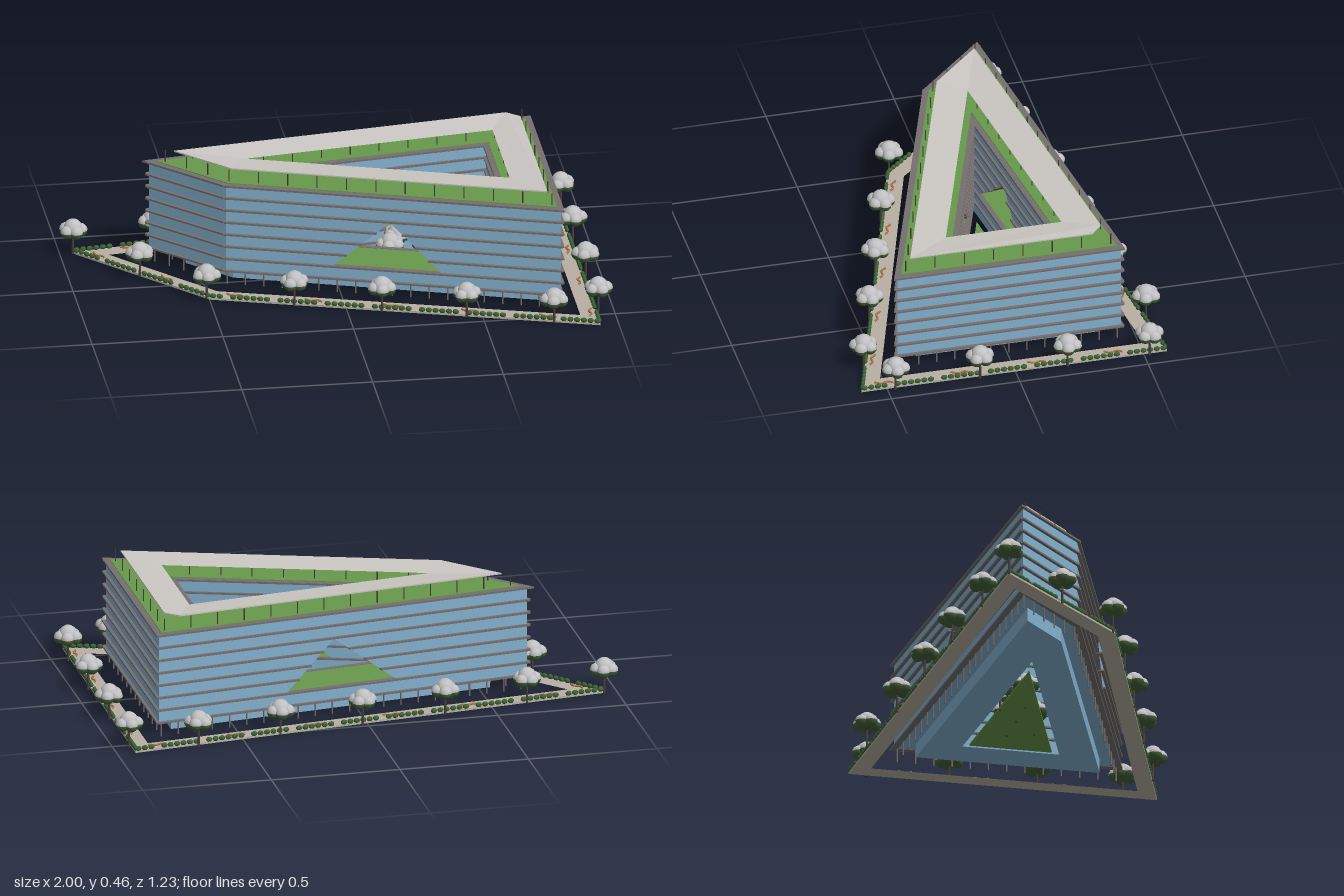
import * as THREE from 'three';

const mat = (name, color, side = THREE.FrontSide) => {
  const m = new THREE.MeshStandardMaterial({ color, side });
  m.name = name;
  return m;
};

// Plan outlines as [x, z], all wound the same way
const BUILDING = [[-0.70, -0.25], [0.815, -0.455], [0.815, 0.445], [-0.425, 0.03]];
const COURT = [[-0.32, -0.12], [0.64, -0.25], [0.64, 0.20]];
const SITE = [[-0.95, -0.35], [0.93, -0.59], [0.93, 0.60], [-0.50, 0.15]];

const edges = (poly) => poly.map((a, i) => {
  const b = poly[(i + 1) % poly.length];
  const len = Math.hypot(b[0] - a[0], b[1] - a[1]);
  return { a, len, d: [(b[0] - a[0]) / len, (b[1] - a[1]) / len] };
});
const along = (e, s, inward = 0) =>
  [e.a[0] + e.d[0] * s - e.d[1] * inward, e.a[1] + e.d[1] * s + e.d[0] * inward];
const project = (e, p) => Math.min(e.len - 0.01,
  Math.max(0.01, (p[0] - e.a[0]) * e.d[0] + (p[1] - e.a[1]) * e.d[1]));

// Move every side of an outline inwards
function inset(poly, dist) {
  const es = edges(poly);
  return es.map((e, i) => {
    const prev = es[(i + es.length - 1) % es.length];
    const p = along(prev, 0, dist), q = along(e, 0, dist);
    const t = ((q[0] - p[0]) * e.d[1] - (q[1] - p[1]) * e.d[0]) /
      (prev.d[0] * e.d[1] - prev.d[1] * e.d[0]);
    return [p[0] + prev.d[0] * t, p[1] + prev.d[1] * t];
  });
}

// Flat plate with an optional hole, from height y0 to y1
function plateGeometry(outer, hole, y0, y1) {
  const pts = (poly) => poly.map(([x, z]) => new THREE.Vector2(x, -z));
  const shape = new THREE.Shape(pts(outer));
  if (hole) shape.holes.push(new THREE.Path(pts(hole)));
  return new THREE.ExtrudeGeometry(shape, { depth: y1 - y0, bevelEnabled: false })
    .rotateX(-Math.PI / 2).translate(0, y0, 0);
}

export function createModel() {
  const root = new THREE.Group();
  root.name = 'triangularOfficeBlock';
  const M = {
    glass: mat('blueGlass', 0x84b2d0, THREE.DoubleSide),
    slab: mat('greyConcrete', 0x76706f, THREE.DoubleSide),
    lawn: mat('lawnGreen', 0x69994b, THREE.DoubleSide),
    canopy: mat('paleCanopy', 0xcbc8c4),
    paving: mat('stonePaving', 0xb8b0a3),
    hedge: mat('hedgeGreen', 0x3c6335),
    leaf: mat('darkLeaf', 0x435f38),
    crown: mat('paleCrown', 0xc2c2c4),
    wood: mat('benchWood', 0xb5774a),
    dark: mat('darkMetal', 0x4a413c),
  };
  const group = (name) => {
    const g = new THREE.Group();
    g.name = name;
    root.add(g);
    return g;
  };
  const add = (parent, name, geo, material, x = 0, y = 0, z = 0) => {
    const m = new THREE.Mesh(geo, material);
    m.name = name;
    m.position.set(x, y, z);
    parent.add(m);
    return m;
  };
  const plate = (name, outer, hole, y0, y1, m) =>
    add(root, name, plateGeometry(outer, hole, y0, y1), m);

  const outerGlass = inset(BUILDING, 0.012), courtGlass = inset(COURT, 0.03);
  const outerEdges = edges(outerGlass), courtEdges = edges(courtGlass);
  const FLOOR = 0.06, SILL = 0.11, PEAK = 0.305, ROOF = 0.41;

  // Triangular passages: base start, base end and apex by side of the plan
  const onEdge = (e, x) => along(e, (x - e.a[0]) / e.d[0]);
  const passages = {
    0: [-0.15, 0.29, 0.10].map((x) => onEdge(outerEdges[0], x)),
    2: [0.37, -0.03, 0.18].map((x) => onEdge(outerEdges[2], x)),
  };

  // Glass wall with floor ribs, both interrupted by a passage
  function wall(parent, e, notch, depth) {
    const g = new THREE.Group();
    g.name = 'facade';
    g.position.set(e.a[0], 0, e.a[1]);
    g.rotation.y = Math.atan2(-e.d[1], e.d[0]);
    parent.add(g);
    const shape = new THREE.Shape([[0, FLOOR], [e.len, FLOOR], [e.len, ROOF], [0, ROOF]]
      .map((p) => new THREE.Vector2(...p)));
    const s = notch && notch.map((p) => project(e, p));
    if (s) {
      shape.holes.push(new THREE.Path([[s[0], SILL], [s[2], PEAK], [s[1], SILL]]
        .map((p) => new THREE.Vector2(...p))));
    }
    add(g, 'glassWall', new THREE.ShapeGeometry(shape), M.glass);
    for (let i = 0; i < 8; i++) {
      const y = FLOOR + i * 0.05;
      let spans = [[-0.01, e.len + 0.01]];
      if (s && y > SILL + 0.01 && y < PEAK) {
        const t = (y - SILL) / (PEAK - SILL);
        spans = [[-0.01, s[0] + (s[2] - s[0]) * t], [s[1] + (s[2] - s[1]) * t, e.len + 0.01]];
      }
      for (const [p, q] of spans) {
        add(g, 'floorRib', new THREE.BoxGeometry(q - p, 0.007, depth), M.slab, (p + q) / 2, y, 0);
      }
    }
  }
  const facades = group('facades');
  outerEdges.forEach((e, i) => wall(facades, e, passages[i], 0.024));
  courtEdges.forEach((e, i) => wall(facades, e, passages[i], 0.02));

  // Passage linings and their grass floors
  const passageGroup = group('passages');
  for (const side of [0, 2]) {
    const heights = [SILL + 0.002, SILL + 0.002, PEAK];
    const ring = passages[side].map((p, i) => {
      const e = courtEdges[side], q = along(e, project(e, p));
      return [[p[0], heights[i], p[1]], [q[0], heights[i], q[1]]];
    });
    [['passageLawn', 0, 1, M.lawn], ['passageCeiling', 1, 2, M.slab], ['passageCeiling', 2, 0, M.slab]]
      .forEach(([name, i, j, m]) => {
        const geo = new THREE.BufferGeometry();
        geo.setAttribute('position', new THREE.Float32BufferAttribute(
          [ring[i][0], ring[j][0], ring[j][1], ring[i][1]].flat(), 3));
        geo.setIndex([0, 1, 2, 0, 2, 3]);
        geo.computeVertexNormals();
        add(passageGroup, name, geo, m);
      });
  }

  // Ground floor, soffit and planted roof
  plate('groundFloor', inset(BUILDING, 0.075), courtGlass, 0.003, 0.058, M.glass);
  plate('soffit', outerGlass, courtGlass, 0.057, 0.061, M.glass);
  plate('roofSlab', BUILDING, inset(COURT, 0.042), 0.406, 0.413, M.slab);
  plate('roofLawn', inset(BUILDING, 0.024), inset(COURT, 0.02), 0.413, 0.416, M.lawn);

  // Canopy ring with one cut corner, sloping down to the courtyard
  const c = inset(BUILDING, 0.055);
  const [back, right] = edges(c);
  const rim = [c[0], along(back, back.len - 0.05), along(right, 0.05), c[2], c[3]];
  const canopyGeo = plateGeometry(rim, COURT, 0.459, 0.464);
  const pos = canopyGeo.attributes.position;
  for (let i = 0; i < pos.count; i++) {
    if (COURT.some(([x, z]) => Math.hypot(pos.getX(i) - x, pos.getZ(i) - z) < 0.001)) {
      pos.setY(i, pos.getY(i) - 0.01);
    }
  }
  canopyGeo.computeVertexNormals();
  add(root, 'roofCanopy', canopyGeo, M.canopy);

  // Rows of posts: roof rim, courtyard rim and ground floor columns
  function postRow(name, poly, step, r, y0, y1, m) {
    const g = group(name), geo = new THREE.CylinderGeometry(r, r, y1 - y0, 6);
    for (const e of edges(poly)) {
      const n = Math.round(e.len / step);
      for (let i = 0; i < n; i++) {
        const [x, z] = along(e, (i * e.len) / n);
        add(g, 'post', geo, m, x, (y0 + y1) / 2, z);
      }
    }
  }
  postRow('roofPosts', inset(BUILDING, 0.04), 0.11, 0.0022, 0.413, 0.463, M.dark);
  postRow('courtPosts', inset(COURT, -0.01), 0.12, 0.0022, 0.413, 0.452, M.dark);
  postRow('groundColumns', inset(BUILDING, 0.022), 0.07, 0.003, 0, 0.06, M.slab);

  // Courtyard garden with crossing paths
  plate('courtLawn', inset(COURT, 0.052).map(([x, z]) => [x > 0.5 ? 0.6 : x, z]), null, 0.004, 0.011, M.lawn);
  [[0.14, -0.115, 0.58, -0.02], [0.31, 0.015, 0.41, -0.155], [0.42, -0.05, 0.54, 0.09]].forEach(([x0, z0, x1, z1]) => {
    const path = add(root, 'gardenPath', new THREE.BoxGeometry(Math.hypot(x1 - x0, z1 - z0), 0.004, 0.035),
      M.paving, (x0 + x1) / 2, 0.011, (z0 + z1) / 2);
    path.rotation.y = -Math.atan2(z1 - z0, x1 - x0);
  });

  // Pavement ring, hedge and winding benches
  plate('pavement', SITE, inset(SITE, 0.065), 0, 0.008, M.paving);
  const hedge = group('hedge'), bush = new THREE.IcosahedronGeometry(0.01, 1);
  const benches = group('benches');
  for (const e of edges(SITE)) {
    const n = Math.round(e.len / 0.026);
    for (let i = 0; i < n; i++) {
      if (i % 7 === 6) continue;
      const [x, z] = along(e, ((i + 0.5) * e.len) / n, 0.003);
      const b = add(hedge, 'bush', bush, M.hedge, x, 0.016, z);
      b.scale.set(1.25, 1, 0.8);
      b.rotation.y = Math.atan2(-e.d[1], e.d[0]);
    }
    const count = Math.round(e.len / 0.32);
    for (let i = 0; i < count; i++) {
      const mid = ((i + 0.7) * e.len) / count;
      const pts = [[-0.04, 0.018], [-0.02, 0.03], [0.005, 0.022], [0.03, 0.036]].map(([s, k]) => {
        const [x, z] = along(e, mid + s, k);
        return new THREE.Vector3(x, 0.014, z);
      });
      add(benches, 'bench', new THREE.TubeGeometry(new THREE.CatmullRomCurve3(pts), 10, 0.004, 5), M.wood);
    }
  }

  // Trees: five lobes round a taller middle, pale above and dark below
  const trunkGeo = new THREE.CylinderGeometry(0.004, 0.005, 0.09, 6);
  const cap = new THREE.SphereGeometry(1, 10, 4, 0, Math.PI * 2, 0, Math.PI / 2);
  const bowl = new THREE.SphereGeometry(1, 10, 4, 0, Math.PI * 2, Math.PI / 2, Math.PI / 2);
  const trees = group('trees');
  function tree(x, z, turn) {
    const g = new THREE.Group();
    g.name = 'tree';
    g.position.set(x, 0, z);
    g.rotation.y = turn;
    trees.add(g);
    add(g, 'trunk', trunkGeo, M.dark, 0, 0.045, 0);
    const lobe = (r, lx, ly, lz) => {
      add(g, 'crownTop', cap, M.crown, lx, ly, lz).scale.setScalar(r);
      add(g, 'crownBase', bowl, M.leaf, lx, ly, lz).scale.setScalar(r);
    };
    lobe(0.037, 0, 0.106, 0);
    for (let i = 0; i < 5; i++) {
      const a = (i * Math.PI * 2) / 5;
      lobe(0.026, Math.cos(a) * 0.03, 0.097, Math.sin(a) * 0.03);
    }
  }
  const spots = [[-0.95, -0.35], [-0.64, -0.39], [-0.31, -0.44], [0.02, -0.48], [0.35, -0.52], [0.68, -0.57],
    [0.94, -0.52], [0.94, -0.2], [0.94, 0.14], [0.94, 0.47], [0.76, 0.55], [0.44, 0.45], [0.13, 0.35],
    [-0.19, 0.25], [-0.51, 0.14], [-0.73, -0.1],
    [0.26, -0.14], [0.22, -0.05], [0.35, -0.06], [0.48, -0.07], [0.45, 0.03]];
  spots.forEach(([x, z], i) => tree(x, z, i * 0.7));
  return root;
}
